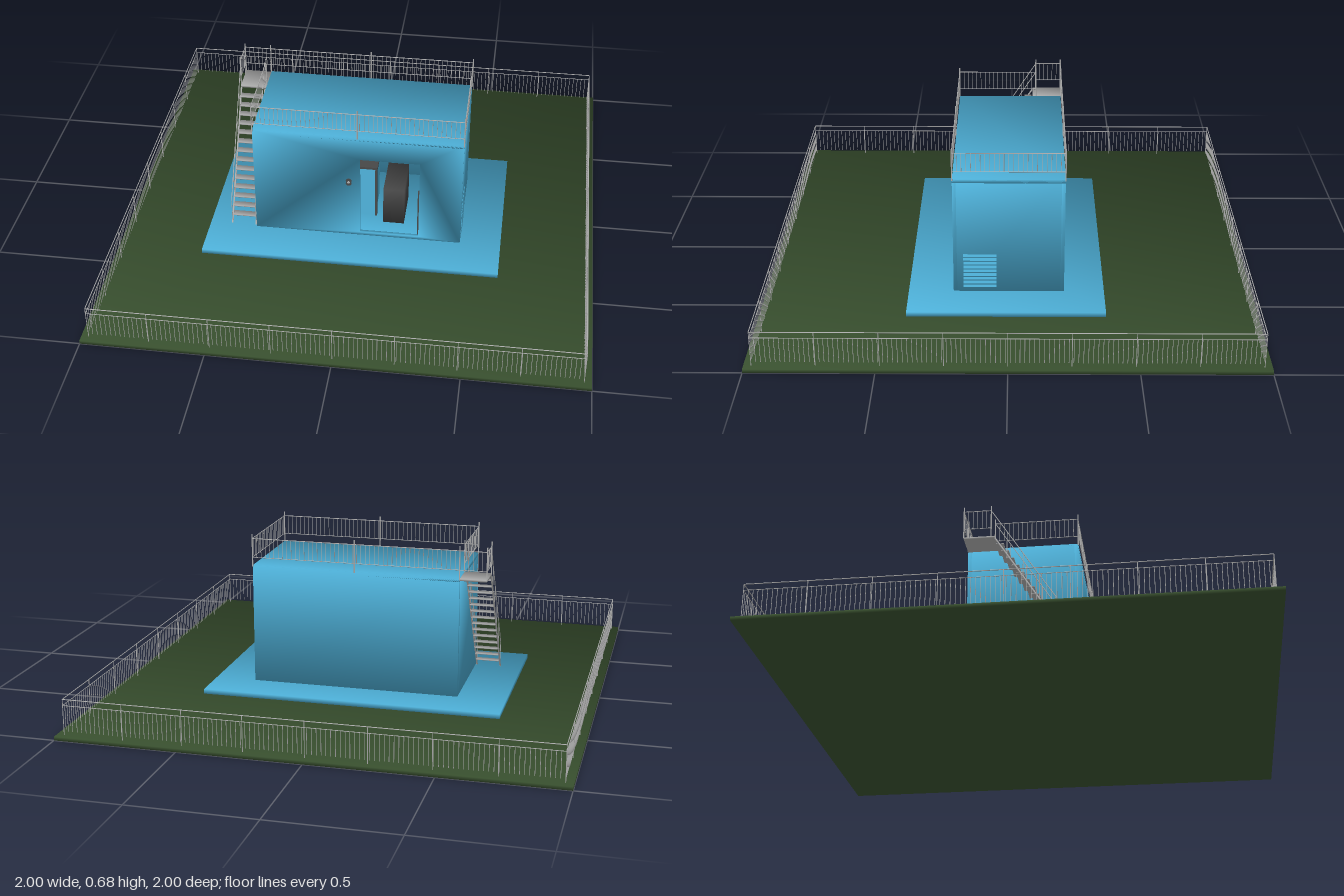
import * as THREE from 'three';
import { mergeGeometries } from 'three/addons/utils/BufferGeometryUtils.js';

const mat = (name, color) => new THREE.MeshStandardMaterial({ name, color });

// Box geometry from its min and max corners
function span(x0, x1, y0, y1, z0, z1) {
  return new THREE.BoxGeometry(x1 - x0, y1 - y0, z1 - z0)
    .translate((x0 + x1) / 2, (y0 + y1) / 2, (z0 + z1) / 2);
}

// Smooth shading: average the distinct face normals that meet at each corner
function smooth(geo) {
  const p = geo.attributes.position, n = geo.attributes.normal, corners = new Map();
  const key = (a, i) => [a.getX(i), a.getY(i), a.getZ(i)].map(v => Math.round(v * 1e4)).join();
  for (let i = 0; i < p.count; i++) {
    const k = key(p, i);
    if (!corners.has(k)) corners.set(k, new Map());
    corners.get(k).set(key(n, i), new THREE.Vector3().fromBufferAttribute(n, i));
  }
  for (let i = 0; i < p.count; i++) {
    const sum = new THREE.Vector3();
    corners.get(key(p, i)).forEach(v => sum.add(v));
    sum.normalize();
    n.setXYZ(i, sum.x, sum.y, sum.z);
  }
  return geo;
}

// Round rod between two points
function rod(a, b, r) {
  const va = new THREE.Vector3(...a), vb = new THREE.Vector3(...b);
  const d = vb.clone().sub(va);
  const q = new THREE.Quaternion().setFromUnitVectors(new THREE.Vector3(0, 1, 0), d.clone().normalize());
  const mid = va.add(vb).multiplyScalar(0.5);
  return new THREE.CylinderGeometry(r, r, d.length(), 16, 1, true).applyQuaternion(q).translate(mid.x, mid.y, mid.z);
}

// Straight railing: two rails with balusters and posts, between floor points a and b as [x, z]
function railing(a, b, { foot, low, mid, top, step, posts, postFoot, postTop, postR }) {
  const at = (t, y) => [a[0] + (b[0] - a[0]) * t, y, a[1] + (b[1] - a[1]) * t];
  const parts = [rod(at(0, top), at(1, top), 0.0018), rod(at(0, mid), at(1, mid), 0.0014)];
  const n = Math.max(2, Math.round(Math.hypot(b[0] - a[0], b[1] - a[1]) / step));
  for (let i = 0; i <= n; i++) parts.push(rod(at(i / n, foot), at(i / n, low), 0.0011));
  for (let i = 0; i <= posts; i++) parts.push(rod(at(i / posts, postFoot), at(i / posts, postTop), postR));
  return parts;
}

export function createModel() {
  const group = new THREE.Group();
  const grass = mat('grass green', 0x3a5230);
  const blue = mat('building blue', 0x50b5de);
  const metal = mat('metal grey', 0xb0b0b0);
  const charcoal = mat('charcoal', 0x484848);

  const add = (name, parts, material) => {
    const mesh = new THREE.Mesh(Array.isArray(parts) ? mergeGeometries(parts) : parts, material);
    mesh.name = name;
    group.add(mesh);
  };

  // Ground and paved apron
  add('ground', smooth(span(-1, 1, 0, 0.015, -1, 1)), grass);
  add('apron', smooth(span(-0.64, 0.61, 0.015, 0.035, -0.39, 0.41)), blue);

  // Perimeter fence
  const F = 0.97;
  const corners = [[-F, -F], [F, -F], [F, F], [-F, F]];
  const fence = { foot: 0.03, low: 0.135, mid: 0.135, top: 0.16, step: 0.0185, posts: 8, postFoot: 0.015, postTop: 0.16, postR: 0.0015 };
  add('perimeterFence', corners.flatMap((c, i) => railing(c, corners[(i + 1) % 4], fence)), metal);

  // Front wall with doorway
  const X = 0.438, Z = 0.226, T = 0.015, Y0 = 0.035, Y1 = 0.54;
  const points = list => list.map(p => new THREE.Vector2(...p));
  const wall = new THREE.Shape(points([[-X, Y0], [X, Y0], [X, Y1], [-X, Y1]]));
  wall.holes.push(new THREE.Path(points([[0.01, 0.05], [0.01, 0.43], [0.26, 0.43], [0.26, 0.05]])));
  add('frontWall', smooth(new THREE.ExtrudeGeometry(wall, { depth: T, bevelEnabled: false }).translate(0, 0, Z - T)), blue);

  // Remaining walls, floor and roof
  add('walls', [
    span(-X, X, Y0, Y1, -Z, -Z + T),
    span(-X, -X + T, Y0, Y1, -Z + T, Z - T),
    span(X - T, X, Y0, Y1, -Z + T, Z - T),
    span(-X + T, X - T, Y0, 0.05, -Z + T, Z - T),
  ].map(smooth), blue);
  add('roof', smooth(span(-X, X, Y1 - 0.015, Y1 + 0.001, -Z, Z)), blue);

  // Equipment seen through the doorway
  add('tallCabinet', span(-0.06, 0.06, 0.05, 0.295, -0.06, 0.1), blue);
  add('tallCabinetCap', span(-0.06, 0.07, 0.295, 0.305, -0.06, 0.105), charcoal);
  add('tallCabinetEdge', span(0.06, 0.068, 0.05, 0.295, 0.085, 0.105), charcoal);
  add('lowCabinet', smooth(span(0.1, 0.19, 0.05, 0.225, -0.05, 0.145)), charcoal);
  add('doorHinge', span(0.253, 0.259, 0.05, 0.27, 0.19, 0.212), charcoal);

  // Flush round lamp beside the doorway
  const disc = (r, y, z) => new THREE.CylinderGeometry(r, r, 0.004, 20).rotateX(Math.PI / 2).translate(-0.037, y, z);
  add('lampBase', [disc(0.012, 0.318, Z), disc(0.012, 0.306, Z)], charcoal);
  add('lampGlass', disc(0.006, 0.312, Z + 0.002), metal);

  // Louvred vent on the side wall
  const slats = [];
  for (let i = 0; i < 9; i++) {
    slats.push(new THREE.BoxGeometry(0.003, 0.011, 0.135).rotateZ(0.25).translate(X + 0.001, 0.06 + i * 0.0175, 0.1175));
  }
  add('ventSlats', slats, blue);

  // Roof railing, running on round the stair landing
  const SX = -0.55, LZ = -0.115;
  const roofRail = { foot: 0.575, low: 0.655, mid: 0.575, top: 0.655, step: 0.0185, posts: 1, postFoot: 0.535, postTop: 0.675, postR: 0.0025 };
  add('roofRailing', [
    ...railing([-X, Z], [X, Z], { ...roofRail, posts: 2 }),
    ...railing([-X, -Z], [X, -Z], { ...roofRail, posts: 2 }),
    ...railing([X, -Z], [X, Z], roofRail),
    ...railing([-X, LZ], [-X, Z], roofRail),
    ...railing([SX, -Z], [-X, -Z], roofRail),
    ...railing([SX, -Z], [SX, LZ], roofRail),
  ], metal);

  // Stair landing and treads
  add('landing', smooth(span(SX, -X, 0.53, 0.538, -Z, -0.1)), metal);
  const N = 15, run = 0.31, rise = 0.5, treads = [];
  for (let i = 1; i < N; i++) {
    const z = -0.1 + run * i / N, y = 0.538 - rise * i / N;
    treads.push(smooth(span(SX + 0.005, -X - 0.007, y - 0.003, y, z - 0.016, z + 0.016)));
  }
  add('treads', treads, metal);

  // Stringers and sloping handrails
  const sides = [];
  for (const x of [SX + 0.003, -X - 0.006]) {
    sides.push(rod([x, 0.53, -0.1], [x, 0.035, 0.215], 0.0035));
    sides.push(rod([x, 0.655, LZ], [x, 0.15, 0.21], 0.0018));
    for (let i = 1; i <= 5; i++) {
      const z = LZ + 0.325 * i / 5, y = 0.655 - 0.505 * i / 5;
      sides.push(rod([x, y, z], [x, y - 0.115, z], 0.0015));
    }
  }
  add('stairSides', sides, metal);

  return group;
}
